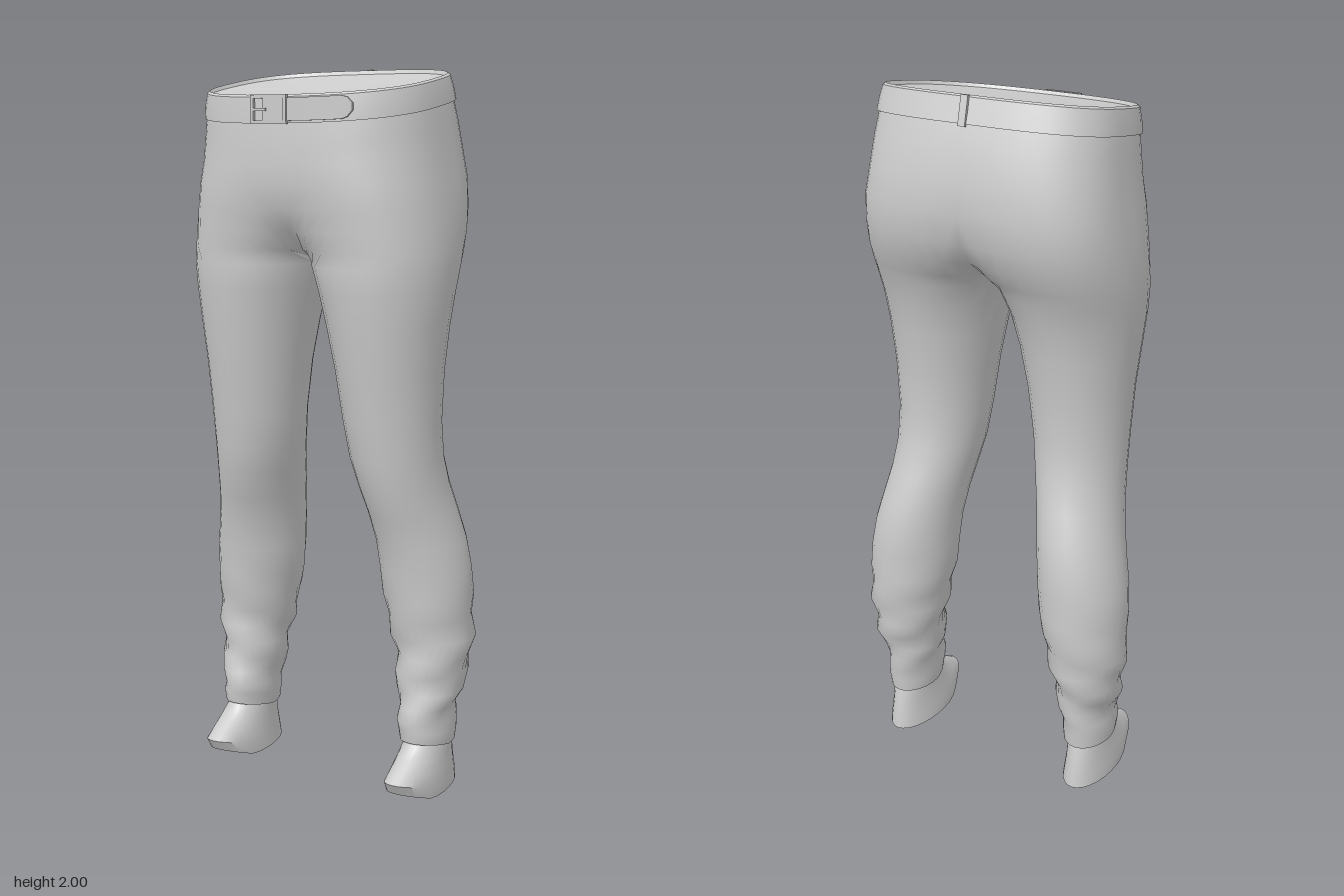
import * as THREE from 'three';
import { toCreasedNormals } from 'three/addons/utils/BufferGeometryUtils.js';

const SEG = 28;
const clamp = THREE.MathUtils.clamp;
const spow = (v, p) => Math.sign(v) * Math.abs(v) ** p;

// Height-dependent squareness: round legs, boxier seat and waist
const frontPower = y => 1 - 0.2 * clamp((y - 1.4) / 0.3, 0, 1);
const backPower = y => 1 - 0.35 * clamp((y - 1.4) / 0.3, 0, 1);

// The waist slopes up towards the back
const waistTilt = p => { p.y -= 0.17 * p.z * THREE.MathUtils.smoothstep(p.y, 1.6, 1.9); };

// One half section [y, inner x, outer x, front z, back z]. Where the inner x is
// negative, the outline is cut at the centre plane and meets its mirror image.
function section([y, inner, outer, front, back], warp) {
  const cx = (inner + outer) / 2, rx = (outer - inner) / 2;
  const cz = (front + back) / 2, rz = (front - back) / 2;
  const limit = p => inner >= 0 ? Math.PI : Math.acos(-clamp(spow(cx / rx, 1 / p), -1, 1));
  const tBack = limit(backPower(y)), tFront = limit(frontPower(y));
  const ring = [];
  for (let i = 0; i <= SEG; i++) {
    const u = i / SEG * 2 - 1;
    const t = u < 0 ? u * tBack : u * tFront;
    const p = t < 0 ? backPower(y) : frontPower(y);
    const v = new THREE.Vector3(cx + rx * spow(Math.cos(t), p), y, cz + rz * spow(Math.sin(t), p));
    warp(v, t);
    if (inner < 0 && (i === 0 || i === SEG)) v.x = 0;
    v.x = Math.max(v.x, 0);
    ring.push(v);
  }
  return ring;
}

// Skin between sections, on the given sides (+1 left, -1 right)
function loft(rows, warp, sides, crease) {
  const rings = rows.map(r => section(r, warp));
  const pos = [];
  for (const s of sides) {
    const tri = (a, b, c) => {
      for (const v of s > 0 ? [a, b, c] : [a, c, b]) pos.push(v.x * s, v.y, v.z);
    };
    for (let j = 0; j < rings.length - 1; j++) {
      for (let i = 0; i < SEG; i++) {
        const a = rings[j][i], b = rings[j][i + 1], c = rings[j + 1][i], d = rings[j + 1][i + 1];
        tri(a, c, b);
        tri(b, c, d);
      }
    }
  }
  const g = new THREE.BufferGeometry();
  g.setAttribute('position', new THREE.Float32BufferAttribute(pos, 3));
  return toCreasedNormals(g, crease);
}

const legRows = [
  [0.15, 0.245, 0.355, 0.045, -0.13],
  [0.135, 0.23, 0.368, 0.06, -0.148],
  [0.17, 0.226, 0.372, 0.066, -0.152],
  [0.21, 0.222, 0.37, 0.064, -0.152],
  [0.25, 0.218, 0.374, 0.058, -0.158],
  [0.29, 0.212, 0.384, 0.052, -0.168],
  [0.34, 0.203, 0.395, 0.045, -0.178],
  [0.39, 0.194, 0.403, 0.042, -0.188],
  [0.44, 0.184, 0.407, 0.045, -0.195],
  [0.5, 0.168, 0.407, 0.052, -0.2],
  [0.56, 0.158, 0.405, 0.064, -0.205],
  [0.64, 0.149, 0.401, 0.074, -0.205],
  [0.72, 0.143, 0.386, 0.086, -0.2],
  [0.8, 0.133, 0.367, 0.113, -0.185],
  [0.88, 0.117, 0.353, 0.14, -0.157],
  [0.96, 0.099, 0.347, 0.158, -0.132],
  [1.06, 0.085, 0.347, 0.174, -0.12],
  [1.2, 0.067, 0.353, 0.197, -0.132],
  [1.32, 0.043, 0.366, 0.216, -0.148],
  [1.41, 0.02, 0.377, 0.228, -0.168],
];
const pelvisRows = [
  [1.48, 0, 0.38, 0.236, -0.192],
  [1.52, -0.03, 0.379, 0.239, -0.212],
  [1.57, -0.085, 0.376, 0.245, -0.238],
  [1.63, -0.17, 0.37, 0.255, -0.26],
  [1.7, -0.27, 0.36, 0.264, -0.271],
  [1.77, -0.34, 0.349, 0.266, -0.264],
  [1.84, -0.34, 0.34, 0.264, -0.246],
  [1.9, -0.332, 0.332, 0.26, -0.225],
  [1.95, -0.322, 0.322, 0.255, -0.21],
];
const beltRows = [
  [1.894, -0.325, 0.325, 0.25, -0.215],
  [1.894, -0.338, 0.338, 0.266, -0.234],
  [1.93, -0.334, 0.334, 0.264, -0.222],
  [1.96, -0.327, 0.327, 0.261, -0.212],
  [1.965, -0.32, 0.32, 0.256, -0.206],
];
const capRows = [
  [1.965, -0.32, 0.32, 0.256, -0.206],
  [1.955, -0.314, 0.314, 0.25, -0.2],
  [1.94, -0.001, 0.001, 0.031, 0.029],
];
const footRows = [
  [0.012, 0.299, 0.301, 0.001, -0.001],
  [0.004, 0.228, 0.372, 0.15, -0.165],
  [0.04, 0.23, 0.372, 0.17, -0.16],
  [0.075, 0.236, 0.366, 0.14, -0.153],
  [0.11, 0.24, 0.362, 0.1, -0.146],
  [0.14, 0.243, 0.358, 0.06, -0.138],
  [0.18, 0.245, 0.355, 0.04, -0.13],
];

// Gathered folds around the shin, and the waist slope above
function trouserWarp(p, t) {
  const fade = THREE.MathUtils.smoothstep(p.y, 0.15, 0.28) * (1 - THREE.MathUtils.smoothstep(p.y, 0.4, 0.68));
  const fold = 0.009 * fade * Math.sin(p.y * 48 + 2 * t);
  p.x += fold * Math.cos(t);
  p.z += fold * Math.sin(t);
  // raised front of the cuff
  if (p.y < 0.2) p.y += 0.02 * Math.max(0, Math.sin(t));
  waistTilt(p);
}

// Toe of the sole curls upwards
function footWarp(p) {
  p.y += 0.38 * Math.max(0, p.z - 0.05) * Math.max(0, 1 - p.y / 0.15);
}

// Bend a flat piece (made around z = 0) onto the front of the belt
function wrapOnBelt(g, lift) {
  const pos = g.attributes.position, v = new THREE.Vector3();
  for (let i = 0; i < pos.count; i++) {
    v.fromBufferAttribute(pos, i);
    const z = 0.021 + 0.245 * (1 - Math.abs(v.x / 0.338) ** 2.5) ** 0.4;
    pos.setXYZ(i, v.x, v.y + 1.929 - 0.17 * z, z + v.z + lift);
  }
  return toCreasedNormals(g, 0.6);
}

export function createModel() {
  const group = new THREE.Group();
  const material = new THREE.MeshStandardMaterial({ color: 0xcccccc, side: THREE.DoubleSide });
  const add = (name, geometry) => {
    const m = new THREE.Mesh(geometry, material);
    m.name = name;
    group.add(m);
    return m;
  };

  add('trousers', loft([...legRows, ...pelvisRows], trouserWarp, [1, -1], 1.3));
  add('belt', loft(beltRows, waistTilt, [1, -1], 0.6));
  add('waistCap', loft(capRows, waistTilt, [1, -1], 0.6));
  add('leftFoot', loft(footRows, footWarp, [1], 0.8));
  add('rightFoot', loft(footRows, footWarp, [-1], 0.8));

  // Belt tongue with a rounded tip
  const tongue = new THREE.BoxGeometry(0.25, 0.058, 0.006, 20, 4, 1).translate(0.085, 0, 0);
  const tp = tongue.attributes.position;
  for (let i = 0; i < tp.count; i++) {
    const k = clamp((tp.getX(i) - 0.18) / 0.03, 0, 1);
    tp.setY(i, tp.getY(i) * Math.sqrt(1 - 0.9 * k * k));
  }
  add('beltTongue', wrapOnBelt(tongue, 0.002));

  // Buckle frame and prong
  const rect = (P, x0, x1, h) => new P([[x0, -h], [x1, -h], [x1, h], [x0, h]].map(a => new THREE.Vector2(...a)));
  const frame = rect(THREE.Shape, -0.075, 0.035, 0.037);
  frame.holes.push(rect(THREE.Path, -0.066, 0.026, 0.028));
  add('buckleFrame', wrapOnBelt(new THREE.ExtrudeGeometry(frame, { depth: 0.008, bevelEnabled: false }), 0));
  add('buckleProng', wrapOnBelt(new THREE.BoxGeometry(0.045, 0.007, 0.006).translate(-0.05, 0, 0), 0.006));

  // Loop at the centre back of the belt
  const loop = add('backBeltLoop', new THREE.BoxGeometry(0.02, 0.076, 0.008));
  loop.position.set(0, 1.965, -0.227);
  loop.rotation.x = 0.25;

  return group;
}
